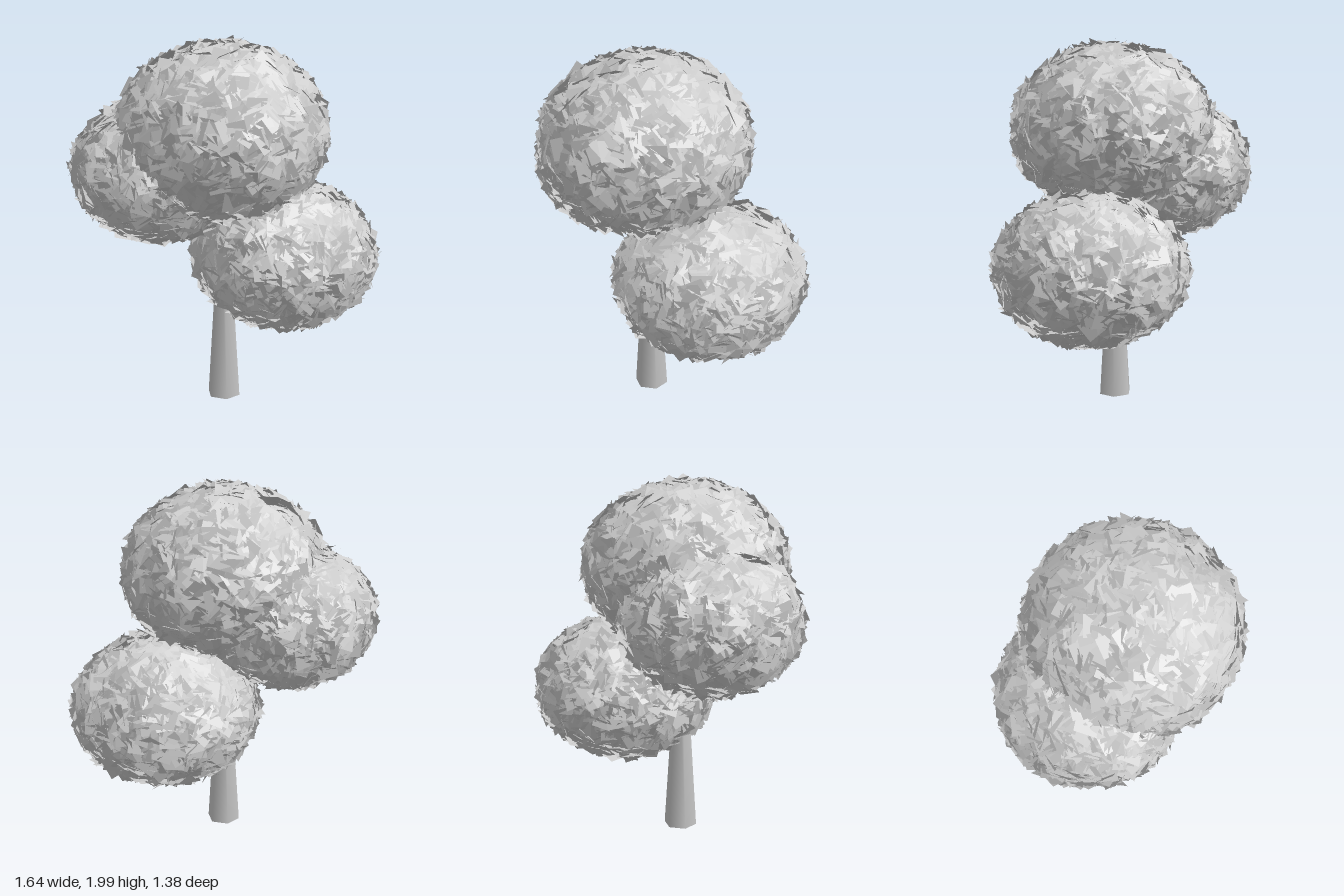
import * as THREE from 'three';

const material = new THREE.MeshStandardMaterial({ color: 0xcccccc, side: THREE.DoubleSide });

function seededRandom(seed) {
  return () => {
    seed = (seed * 1664525 + 1013904223) % 4294967296;
    return seed / 4294967296;
  };
}

// Square leaf cards scattered evenly over an ellipsoid, each tilted so its corners
// stick out; normals blend the card's own facing with the round clump's.
function leafShell(radii, count, seed) {
  const random = seededRandom(seed);
  const positions = [], normals = [], indices = [];
  const up = new THREE.Vector3(0, 0, 1);
  const spin = new THREE.Quaternion(), turn = new THREE.Quaternion(), tilt = new THREE.Quaternion();
  const corner = new THREE.Vector3(), axis = new THREE.Vector3(), facing = new THREE.Vector3();
  const golden = Math.PI * (3 - Math.sqrt(5));

  for (let i = 0; i < count; i++) {
    const y = 1 - 2 * (i + 0.5) / count;
    const ring = Math.sqrt(1 - y * y);
    const dir = new THREE.Vector3(Math.cos(i * golden) * ring, y, Math.sin(i * golden) * ring);
    const normal = dir.clone().divide(radii).normalize();
    const centre = dir.multiply(radii).addScaledVector(normal, -0.04 - random() * 0.02);

    spin.setFromAxisAngle(up, random() * Math.PI * 2);
    turn.setFromUnitVectors(up, normal);
    const a = random() * Math.PI * 2;
    axis.set(Math.cos(a), Math.sin(a), 0);
    tilt.setFromAxisAngle(axis, 0.2 + random() * 0.55);
    turn.multiply(tilt).multiply(spin);
    facing.copy(up).applyQuaternion(turn).lerp(normal, 0.45).normalize();

    const half = 0.045 + random() * 0.013;
    const base = positions.length / 3;
    for (const [u, v] of [[-1, -1], [1, -1], [1, 1], [-1, 1]]) {
      corner.set(u * half, v * half, 0).applyQuaternion(turn).add(centre);
      positions.push(corner.x, corner.y, corner.z);
      normals.push(facing.x, facing.y, facing.z);
    }
    indices.push(base, base + 1, base + 2, base, base + 2, base + 3);
  }

  const geometry = new THREE.BufferGeometry();
  geometry.setAttribute('position', new THREE.Float32BufferAttribute(positions, 3));
  geometry.setAttribute('normal', new THREE.Float32BufferAttribute(normals, 3));
  geometry.setIndex(indices);
  return geometry;
}

// One rounded clump of leaves
function foliage(name, centre, size, seed) {
  const clump = new THREE.Mesh(leafShell(new THREE.Vector3(...size), 1900, seed), material);
  clump.name = name;
  clump.position.set(...centre);
  return clump;
}

export function createModel() {
  const tree = new THREE.Group();
  tree.name = 'tree';

  // Tapered six-sided trunk with a closed foot, reaching up into the crown
  const trunkProfile = [[0, 0], [0.093, 0], [0.025, 1.1]].map(([r, y]) => new THREE.Vector2(r, y));
  const trunk = new THREE.Mesh(new THREE.LatheGeometry(trunkProfile, 6, Math.PI / 6), material);
  trunk.name = 'trunk';
  trunk.position.set(0.021, 0, 0.09);
  tree.add(trunk);

  // Three overlapping clumps of leaves
  tree.add(
    foliage('topFoliage', [0.02, 1.495, 0.115], [0.58, 0.495, 0.58], 11),
    foliage('sideFoliage', [-0.325, 1.275, 0.14], [0.5, 0.415, 0.5], 23),
    foliage('lowerFoliage', [0.28, 0.785, -0.16], [0.535, 0.432, 0.535], 37)
  );
  return tree;
}
